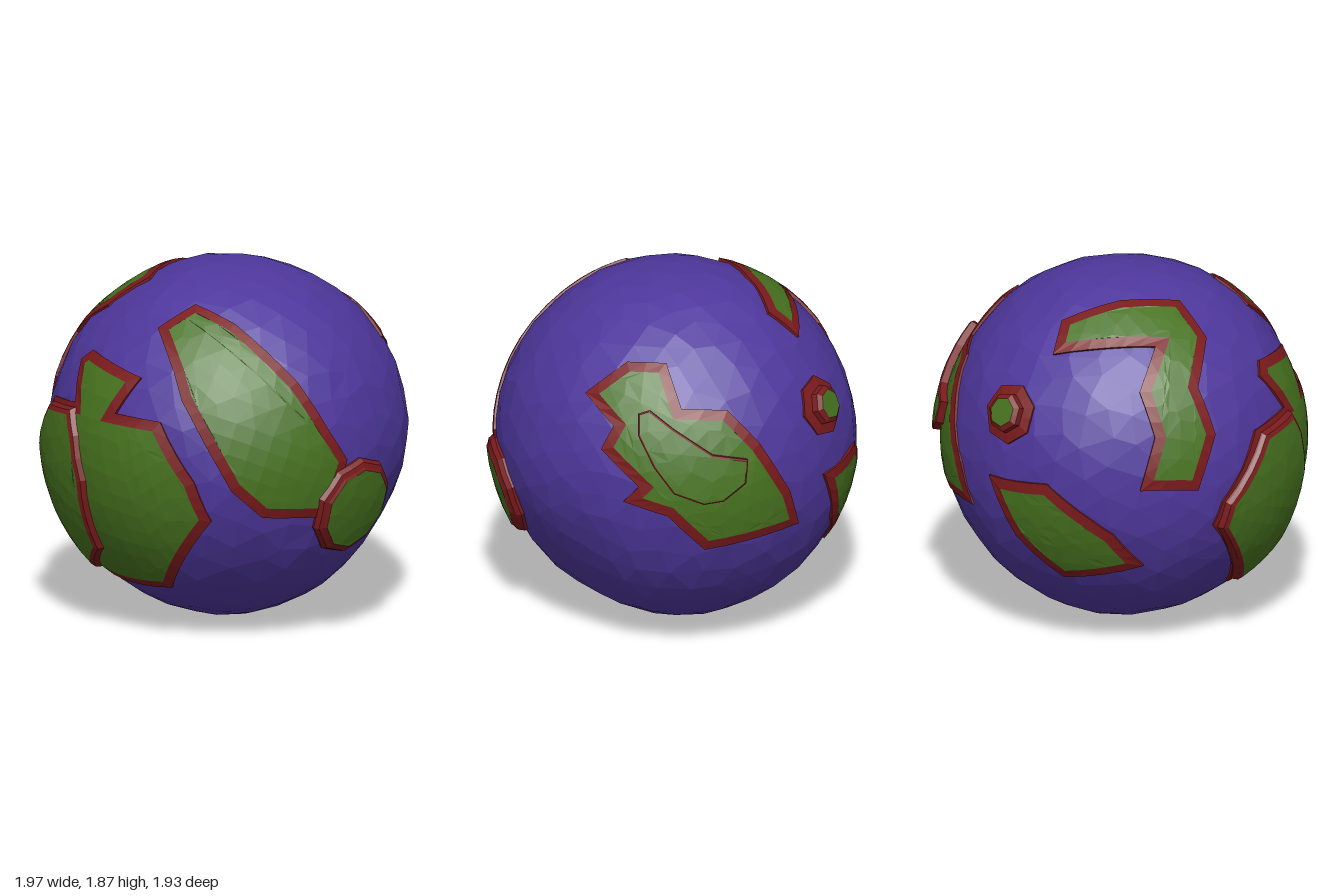
import * as THREE from 'three';

const R = 0.94, CENTRE_Y = 0.94;
const material = (color, side = THREE.FrontSide) => new THREE.MeshStandardMaterial({ color, flatShading: true, side });
const SEA = material(0x4e379c);
const GRASS = material(0x47731f, THREE.DoubleSide);
const SOIL = material(0x7a1a1c, THREE.DoubleSide);

// Slightly lumpy globe: radius for a unit direction, with one worn flank.
const DENT = new THREE.Vector3(0.6, -0.53, 0.6).normalize();
const radius = d => R - 0.045 * Math.exp(-8 * (1 - d.dot(DENT)))
  + 0.006 * Math.sin(5 * d.x + 1) * Math.sin(6 * d.z + 4 * d.y);

// Right / up / outward axes for a given outward direction.
function axes(out) {
  const right = new THREE.Vector3(out.z, 0, -out.x).normalize();
  return { out, right, up: out.clone().cross(right) };
}

// Flat outline, seen from a compass angle and elevation, lifted to directions on the globe.
function at(azimuth, elevation, points) {
  const a = azimuth * Math.PI / 180, e = elevation * Math.PI / 180;
  const f = axes(new THREE.Vector3(Math.sin(a) * Math.cos(e), Math.sin(e), Math.cos(a) * Math.cos(e)));
  return points.map(([x, y]) => new THREE.Vector3()
    .addScaledVector(f.right, x).addScaledVector(f.up, y)
    .addScaledVector(f.out, Math.sqrt(Math.max(0, R * R - x * x - y * y))).normalize());
}

const ringOf = (n, r) => Array.from({ length: n }, (_, i) => {
  const t = (i + 0.5) / n * 2 * Math.PI;
  return [r * Math.cos(t), r * Math.sin(t)];
});

// Moves every side of a counter-clockwise outline inwards.
function inset(poly, amount) {
  return poly.map((p, i) => {
    const a = poly[(i + poly.length - 1) % poly.length], b = poly[(i + 1) % poly.length];
    const d1 = p.clone().sub(a).normalize(), d2 = b.clone().sub(p).normalize();
    const n1 = new THREE.Vector2(-d1.y, d1.x), n2 = new THREE.Vector2(-d2.y, d2.x);
    const m = n1.clone().add(n2).normalize();
    return p.clone().addScaledVector(m, amount / Math.max(0.5, m.dot(n1)));
  });
}

function meshFrom(vertices, mat, name) {
  const g = new THREE.BufferGeometry().setFromPoints(vertices);
  g.computeVertexNormals();
  const m = new THREE.Mesh(g, mat);
  m.name = name;
  return m;
}

// Land: soil bands between successive [inset, height] rings, closed by a grass cap.
function land(name, directions, rings) {
  const mid = directions.reduce((s, d) => s.add(d), new THREE.Vector3()).normalize();
  const f = axes(mid);
  const flatten = d => {
    const v = new THREE.Vector2(d.dot(f.right), d.dot(f.up));
    return v.setLength(Math.acos(THREE.MathUtils.clamp(d.dot(mid), -1, 1)));
  };
  const lift = (p, h) => {
    const t = p.length(), s = t > 1e-6 ? Math.sin(t) / t : 1;
    const d = mid.clone().multiplyScalar(Math.cos(t))
      .addScaledVector(f.right, p.x * s).addScaledVector(f.up, p.y * s).normalize();
    return d.clone().multiplyScalar(radius(d) + h);
  };
  const outline = directions.map(flatten);
  if (THREE.ShapeUtils.area(outline) < 0) outline.reverse();
  const steps = outline.map((p, i) => Math.ceil(p.distanceTo(outline[(i + 1) % outline.length]) / 0.13));
  const dense = poly => poly.flatMap((p, i) => Array.from({ length: steps[i] },
    (_, k) => p.clone().lerp(poly[(i + 1) % poly.length], k / steps[i])));

  const loops = rings.map(([d]) => dense(inset(outline, d)));
  const soil = [];
  for (let r = 0; r + 1 < rings.length; r++) {
    const lo = loops[r].map(p => lift(p, rings[r][1]));
    const hi = loops[r + 1].map(p => lift(p, rings[r + 1][1]));
    lo.forEach((p, i) => {
      const j = (i + 1) % lo.length;
      soil.push(p, lo[j], hi[j], p, hi[j], hi[i]);
    });
  }

  // Cap triangles are halved along their longest side until they follow the globe.
  const cap = loops[loops.length - 1], h = rings[rings.length - 1][1], grass = [];
  const split = (a, b, c) => {
    const ab = a.distanceTo(b), bc = b.distanceTo(c), ca = c.distanceTo(a);
    if (Math.max(ab, bc, ca) < 0.16) {
      grass.push(lift(a, h), lift(b, h), lift(c, h));
    } else {
      const [p, q, r] = ab >= bc && ab >= ca ? [a, b, c] : bc >= ca ? [b, c, a] : [c, a, b];
      const m = p.clone().add(q).multiplyScalar(0.5);
      split(p, m, r);
      split(m, q, r);
    }
  };
  THREE.ShapeUtils.triangulateShape(cap, []).forEach(([a, b, c]) => split(cap[a], cap[b], cap[c]));

  const group = new THREE.Group();
  group.name = name;
  group.add(meshFrom(soil, SOIL, name + 'Soil'), meshFrom(grass, GRASS, name + 'Grass'));
  return group;
}

// Faceted ocean ball with slightly irregular facets.
function ocean() {
  const g = new THREE.IcosahedronGeometry(1, 6), p = g.attributes.position, v = new THREE.Vector3();
  for (let i = 0; i < p.count; i++) {
    v.fromBufferAttribute(p, i);
    const { x, y, z } = v;
    v.set(x + 0.025 * Math.sin(23 * y + 17 * z), y + 0.025 * Math.sin(19 * z + 21 * x),
      z + 0.025 * Math.sin(25 * x + 18 * y)).normalize();
    v.multiplyScalar(radius(v) + 0.003 * Math.sin(31 * x + 27 * y + 22 * z));
    p.setXYZ(i, v.x, v.y, v.z);
  }
  g.computeVertexNormals();
  const m = new THREE.Mesh(g, SEA);
  m.name = 'ocean';
  return m;
}

export function createModel() {
  const model = new THREE.Group();
  model.name = 'planet';
  const globe = new THREE.Group();
  globe.name = 'globe';
  globe.position.y = CENTRE_Y;
  model.add(globe);

  const coast = [[0, -0.02], [0, 0.009], [0.06, 0.014]];
  const plateau = [[0, 0], [0.004, 0.05], [0.014, 0.056]];

  globe.add(
    ocean(),
    // Long front continent and the round mesa at its foot
    land('frontContinent', at(0, 0, [[-0.61, 0.69], [-0.42, 0.80], [-0.34, 0.73], [-0.18, 0.46], [-0.06, 0.2],
      [0.04, 0.04], [-0.04, -0.2], [-0.12, -0.25], [-0.42, -0.22], [-0.57, -0.07], [-0.66, 0.16],
      [-0.7, 0.38], [-0.68, 0.5]]), coast),
    land('frontMesa', at(8, -14.5, ringOf(10, 0.27)),
      [[0, -0.02], [0, 0.012], [0.02, 0.035], [0.045, 0.042], [0.06, 0.05]]),

    // Jagged continent on the +x side with a raised slab
    land('leftContinent', at(90, 0, [[-0.455, 0.51], [-0.24, 0.67], [-0.04, 0.68], [0.04, 0.49], [0.275, 0.47],
      [0.44, 0.29], [0.6, 0], [0.645, -0.215], [0.16, -0.26], [-0.03, -0.055], [-0.26, 0.01],
      [-0.18, 0.1], [-0.375, 0.27], [-0.31, 0.39]]), coast),
    land('leftPlateau', at(90, 0, [[-0.18, 0.46], [-0.12, 0.48], [0, 0.4], [0.2, 0.27], [0.37, 0.23],
      [0.36, 0.11], [0.25, 0.03], [0.15, 0.02], [0, 0.08], [-0.1, 0.21], [-0.18, 0.36]]), plateau),

    // Broad continent on the -x side with a raised rear half
    land('rightContinent', [
      ...at(215, 27, [[0.525, 0.215], [0.5, 0.13], [0.64, -0.04], [0.41, -0.15], [0.19, -0.49],
        [0.14, -0.6], [0.36, -0.85]]),
      ...at(0, 0, [[-0.6, -0.66], [-0.63, -0.24], [-0.71, -0.03], [-0.79, 0.27], [-0.88, 0.28]]),
      ...at(215, 27, [[0.78, 0.31]])], coast),
    land('rightPlateau', at(215, 27, [[0.66, -0.05], [0.44, -0.16], [0.2, -0.49], [0.16, -0.61], [0.37, -0.84],
      [0.66, -0.64], [0.77, -0.33], [0.73, -0.15]]),
      [[0, 0], [0.01, 0.02], [0.025, 0.038], [0.05, 0.045]]),

    // Hooked continent over the top and back
    land('backContinent', at(215, 27, [[-0.55, 0.4], [-0.45, 0.57], [-0.15, 0.62], [0.16, 0.58], [0.23, 0.36],
      [0.1, 0.1], [0.16, -0.15], [0.045, -0.42], [-0.265, -0.38], [-0.17, -0.125], [-0.21, 0.12],
      [-0.07, 0.345], [-0.31, 0.38]]), coast),

    // Lens-shaped island low on the back, and the small stump above it
    land('backIsland', at(142, -30, [[0.06, 0.475], [0.42, 0.455], [0.6, 0.25], [0.68, 0.12], [0.72, -0.135],
      [0.37, -0.11], [0.2, 0.175]]), coast),
    land('backStump', at(150.6, 22, ringOf(7, 0.16)),
      [[0, -0.02], [0, 0.01], [0.055, 0.018], [0.06, 0.05], [0.085, 0.066]]),
  );
  return model;
}
